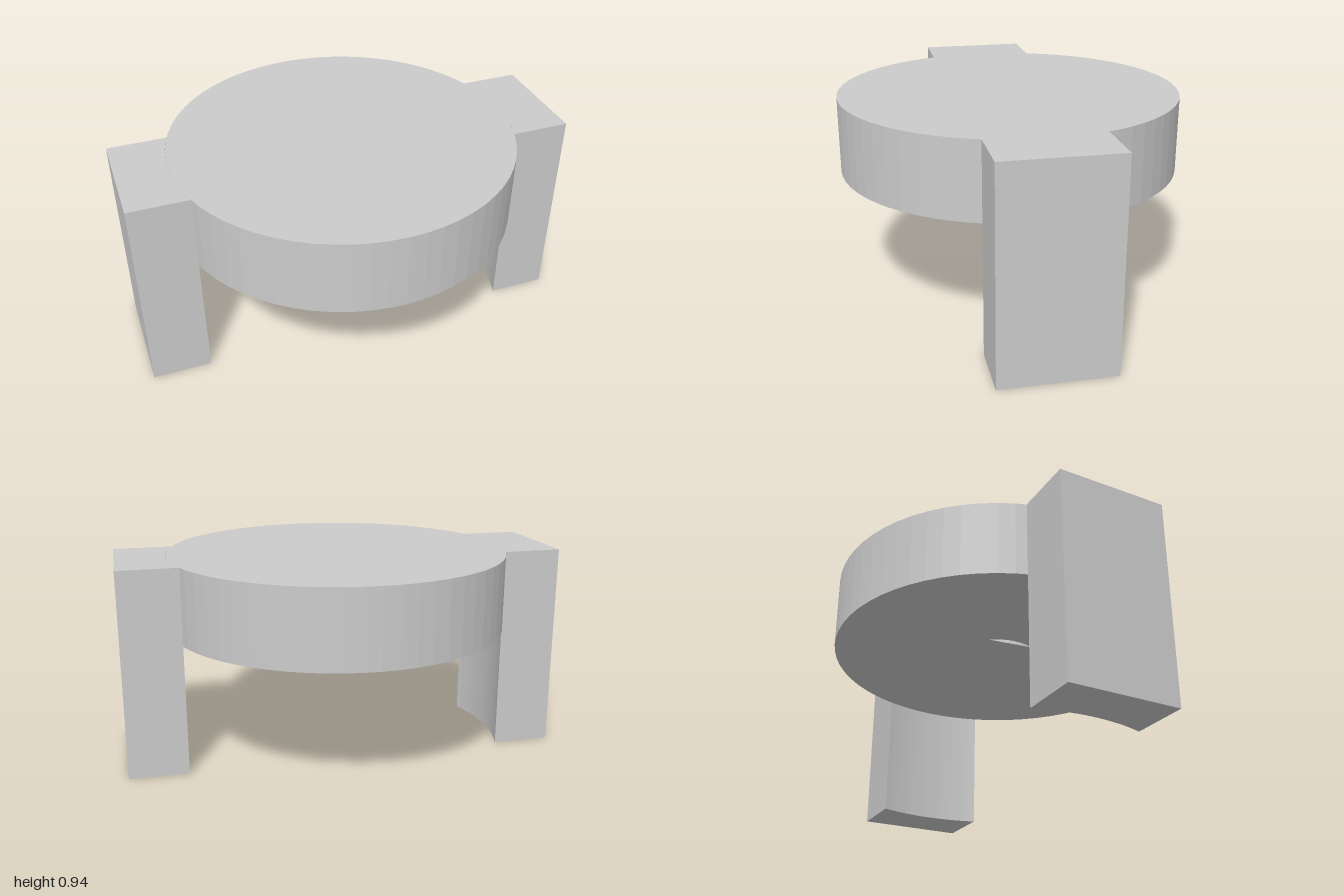
import * as THREE from 'three';

const R = 0.776, TOP = 0.935, UNDER = 0.59, HALF = 0.252, SEG = 64;

export function createModel() {
  const group = new THREE.Group();
  const mat = new THREE.MeshStandardMaterial({ color: 0xcccccc, flatShading: true });
  const thin = mat.clone();
  thin.side = THREE.DoubleSide;

  const add = (name, geometry, y, material = mat) => {
    const mesh = new THREE.Mesh(geometry, material);
    mesh.name = name;
    mesh.position.y = y;
    group.add(mesh);
    return mesh;
  };

  // round slab: rim and top
  const height = TOP - UNDER;
  add('slabRim', new THREE.CylinderGeometry(R, R, height, SEG, 1, true), UNDER + height / 2);
  add('slabTop', new THREE.CircleGeometry(R, SEG).rotateX(-Math.PI / 2), TOP, thin);

  // underside with a wedge-shaped opening into the round socket
  const socketR = 0.2;
  const rad = THREE.MathUtils.degToRad;
  const under = new THREE.Shape().absarc(0, 0, R, 0, Math.PI * 2, false);
  const opening = new THREE.Path();
  opening.moveTo(socketR * Math.cos(rad(74)), socketR * Math.sin(rad(74)));
  opening.absarc(0, 0, socketR, rad(155), rad(218), false);
  opening.closePath();
  under.holes.push(opening);
  add('slabUnderside', new THREE.ShapeGeometry(under, SEG / 2).rotateX(Math.PI / 2), UNDER, thin);
  add('socketWall', new THREE.CylinderGeometry(socketR, socketR, height, 32, 1, true), UNDER + height / 2, thin);

  // legs with a concave inner face following the slab
  const a = Math.asin(HALF / R);
  const plan = new THREE.Shape();
  plan.moveTo(1, -HALF);
  plan.lineTo(1, HALF);
  plan.absarc(0, 0, R, a, -a, true);
  plan.closePath();
  const leg = new THREE.ExtrudeGeometry(plan, { depth: TOP, bevelEnabled: false, curveSegments: 8 });
  leg.rotateX(-Math.PI / 2);
  add('leftLeg', leg, 0);
  add('rightLeg', leg, 0).rotation.y = Math.PI;

  return group;
}
